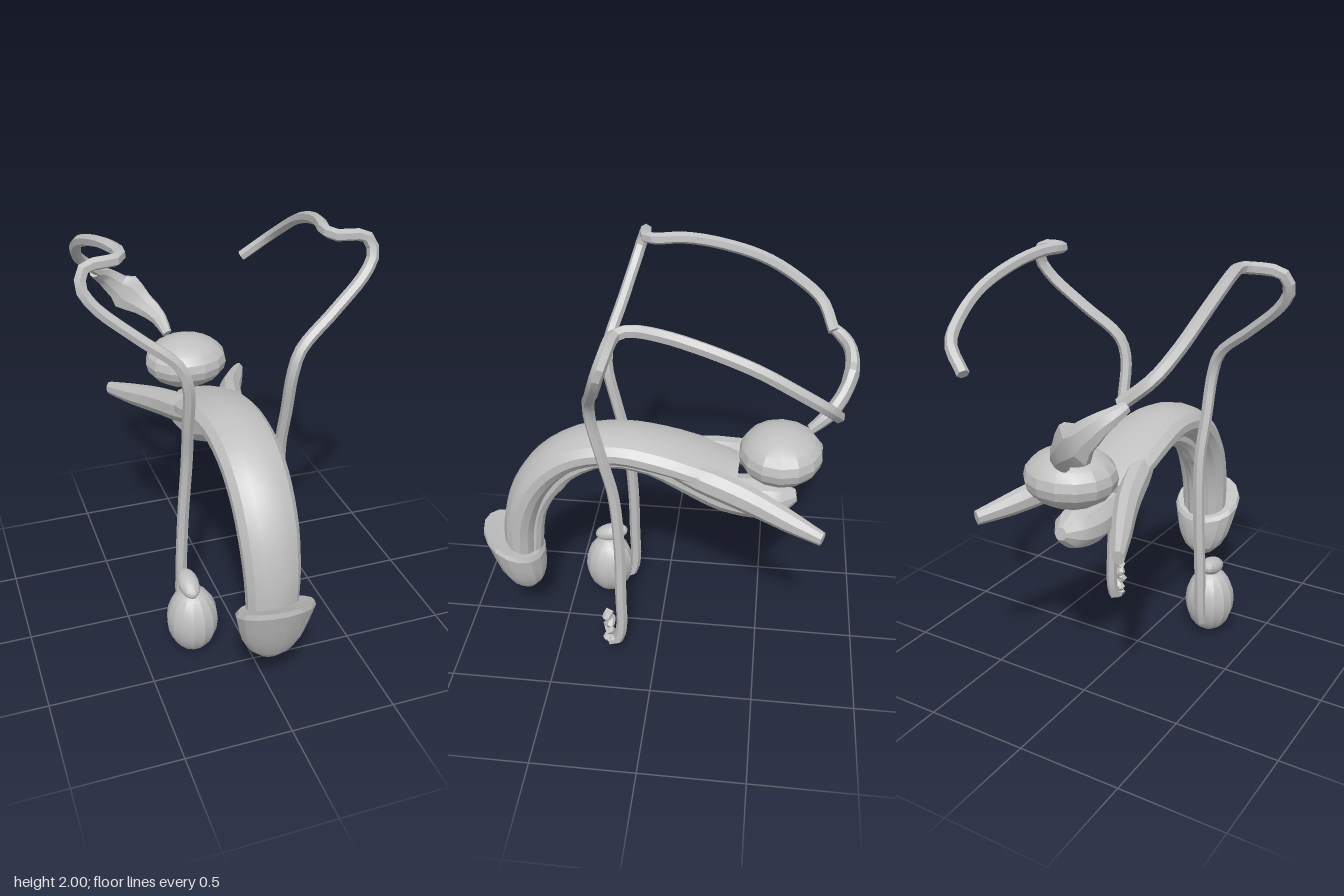
import * as THREE from 'three';
import { toCreasedNormals } from 'three/addons/utils/BufferGeometryUtils.js';

const tissue = new THREE.MeshStandardMaterial({ color: 0xc0c0c0 });
tissue.name = 'grey tissue';

function part(name, geometry) {
  const mesh = new THREE.Mesh(toCreasedNormals(geometry, 0.35), tissue);
  mesh.name = name;
  return mesh;
}

// Closed sweep. Rows are [x, y, z, half width, half depth]; side sets the width direction.
function sweep(name, rows, sides, steps, side) {
  const curve = new THREE.CatmullRomCurve3(rows.map(r => new THREE.Vector3(r[0], r[1], r[2])));
  const sizes = new THREE.CatmullRomCurve3(rows.map(r => new THREE.Vector3(r[3], r[4], 0)));
  const frames = curve.computeFrenetFrames(steps, false);
  // steps are evenly spaced by row, so sizes stay with their centres
  const positions = [], index = [];
  const add = v => positions.push(v.x, v.y, v.z);
  for (let i = 0; i <= steps; i++) {
    const t = i / steps;
    const c = side ? curve.getPoint(t) : curve.getPointAt(t);
    const T = side ? curve.getTangent(t) : frames.tangents[i];
    const S = side ? side.clone().addScaledVector(T, -side.dot(T)).normalize() : frames.normals[i];
    const N = T.clone().cross(S);
    const size = sizes.getPoint(t);
    for (let j = 0; j < sides; j++) {
      const a = (j + 0.5) / sides * Math.PI * 2;
      add(c.clone().addScaledVector(S, size.x * Math.cos(a)).addScaledVector(N, size.y * Math.sin(a)));
    }
  }
  for (let i = 0; i < steps; i++) {
    for (let j = 0; j < sides; j++) {
      const k = (j + 1) % sides, a = i * sides, b = a + sides;
      index.push(a + j, a + k, b + j, a + k, b + k, b + j);
    }
  }
  // end caps
  const start = positions.length / 3;
  add(curve.getPoint(0));
  add(curve.getPoint(1));
  for (let j = 0; j < sides; j++) {
    const k = (j + 1) % sides, b = steps * sides;
    index.push(start, k, j, start + 1, b + j, b + k);
  }
  const g = new THREE.BufferGeometry();
  g.setAttribute('position', new THREE.Float32BufferAttribute(positions, 3));
  g.setIndex(index);
  return part(name, g);
}

function ellipsoid(name, center, radii, tilt = 0) {
  const g = new THREE.SphereGeometry(1, 14, 10);
  g.scale(...radii).rotateX(tilt).translate(...center);
  return part(name, g);
}

export function createModel() {
  const model = new THREE.Group();
  model.name = 'anatomyModel';
  const X = new THREE.Vector3(1, 0, 0);

  // Arched upper body
  model.add(sweep('cavernousBody', [
    [0, 0.45, 0.72, 0.12, 0.08], [0, 0.65, 0.71, 0.13, 0.085], [0, 0.85, 0.65, 0.14, 0.088],
    [0, 1.0, 0.545, 0.145, 0.088], [0, 1.1, 0.4, 0.15, 0.085], [0, 1.14, 0.2, 0.155, 0.082],
    [0, 1.115, 0, 0.17, 0.08], [0, 1.065, -0.2, 0.18, 0.07], [0, 1.03, -0.36, 0.13, 0.045],
  ], 14, 24, X));

  // Lower tube widening into a bulb at the back
  model.add(sweep('spongyBody', [
    [0, 0.48, 0.65, 0.06, 0.04], [0, 0.7, 0.625, 0.06, 0.045], [0, 0.84, 0.56, 0.06, 0.05],
    [0, 0.96, 0.46, 0.06, 0.05], [0, 1.05, 0.25, 0.06, 0.05], [0, 1.03, 0.05, 0.065, 0.055],
    [0, 0.95, -0.15, 0.08, 0.075], [0, 0.895, -0.3, 0.1, 0.09], [0, 0.88, -0.45, 0.115, 0.1],
    [0, 0.885, -0.57, 0.09, 0.085], [0, 0.9, -0.65, 0.03, 0.03],
  ], 10, 30, X));

  // Rounded front cap with a slanted rim
  const profile = [[0, 0], [0.06, 0.01], [0.11, 0.06], [0.145, 0.13], [0.165, 0.21],
    [0.182, 0.29], [0.172, 0.315], [0.11, 0.31], [0, 0.3]];
  const cap = new THREE.LatheGeometry(profile.map(p => new THREE.Vector2(...p)), 16);
  const v = cap.attributes.position;
  for (let i = 0; i < v.count; i++) {
    const h = v.getY(i) / 0.3, z = v.getZ(i) * 0.83;
    v.setXYZ(i, v.getX(i), 0.22 + v.getY(i) + 0.5 * z * h, 0.7 + 0.06 * h + z);
  }
  model.add(part('frontCap', cap));

  // Gland behind the shaft and the leaf-shaped vesicle on its right
  model.add(ellipsoid('gland', [0, 1.14, -0.56], [0.212, 0.132, 0.197]));
  model.add(sweep('vesicle', [
    [-0.06, 1.24, -0.69, 0.025, 0.025], [-0.09, 1.31, -0.77, 0.045, 0.035],
    [-0.18, 1.39, -0.84, 0.07, 0.035], [-0.27, 1.465, -0.865, 0.07, 0.035],
    [-0.34, 1.53, -0.85, 0.05, 0.03], [-0.385, 1.565, -0.81, 0.035, 0.03],
    [-0.41, 1.59, -0.77, 0.025, 0.025],
  ], 8, 14, new THREE.Vector3(0.6, 0.75, 0)));

  // Rear legs, long ducts and their coiled ends, mirrored
  const duct = [
    [0.262, 0.1, 0.235], [0.265, 0.11, 0.195], [0.265, 0.2, 0.172], [0.26, 0.4, 0.172],
    [0.245, 0.7, 0.175], [0.23, 1.0, 0.2], [0.235, 1.2, 0.245], [0.243, 1.42, 0.29],
    [0.28, 1.52, 0.285], [0.45, 1.66, 0.24], [0.61, 1.8, 0.195], [0.655, 1.88, 0.17],
    [0.63, 1.95, 0.145], [0.49, 1.965, 0.125], [0.465, 1.972, 0.07], [0.49, 1.972, -0.05],
    [0.52, 1.94, -0.22], [0.54, 1.87, -0.43], [0.53, 1.78, -0.59], [0.49, 1.69, -0.71],
    [0.38, 1.59, -0.77],
  ];
  const coil = [];
  for (let i = 0; i < 9; i++) {
    coil.push([0.255 + 0.015 * (i % 2 ? 1 : -1), 0.1 + i * 0.023, 0.235 + 0.012 * Math.sin(i * 2), 0.02, 0.022]);
  }
  const leg = [
    [0.1, 1.075, -0.08, 0.04, 0.05], [0.14, 1.04, -0.25, 0.06, 0.072],
    [0.2, 1.0, -0.43, 0.055, 0.068], [0.285, 0.962, -0.61, 0.045, 0.055],
    [0.365, 0.935, -0.765, 0.026, 0.035],
  ];
  for (const [label, s] of [['left', 1], ['right', -1]]) {
    const flip = rows => rows.map(r => [s * r[0], ...r.slice(1)]);
    model.add(sweep(label + 'RearLeg', flip(leg), 8, 12, X));
    model.add(sweep(label + 'Duct', flip(duct.map(p => [...p, 0.028, 0.028])), 6, 70));
    model.add(sweep(label + 'Coil', flip(coil), 6, 24, X));
  }

  // Oval body and its crest on the right
  model.add(ellipsoid('ovalBody', [-0.25, 0.182, 0.312], [0.125, 0.175, 0.128]));
  model.add(ellipsoid('crest', [-0.262, 0.38, 0.3], [0.05, 0.045, 0.09], 0.25));

  return model;
}
